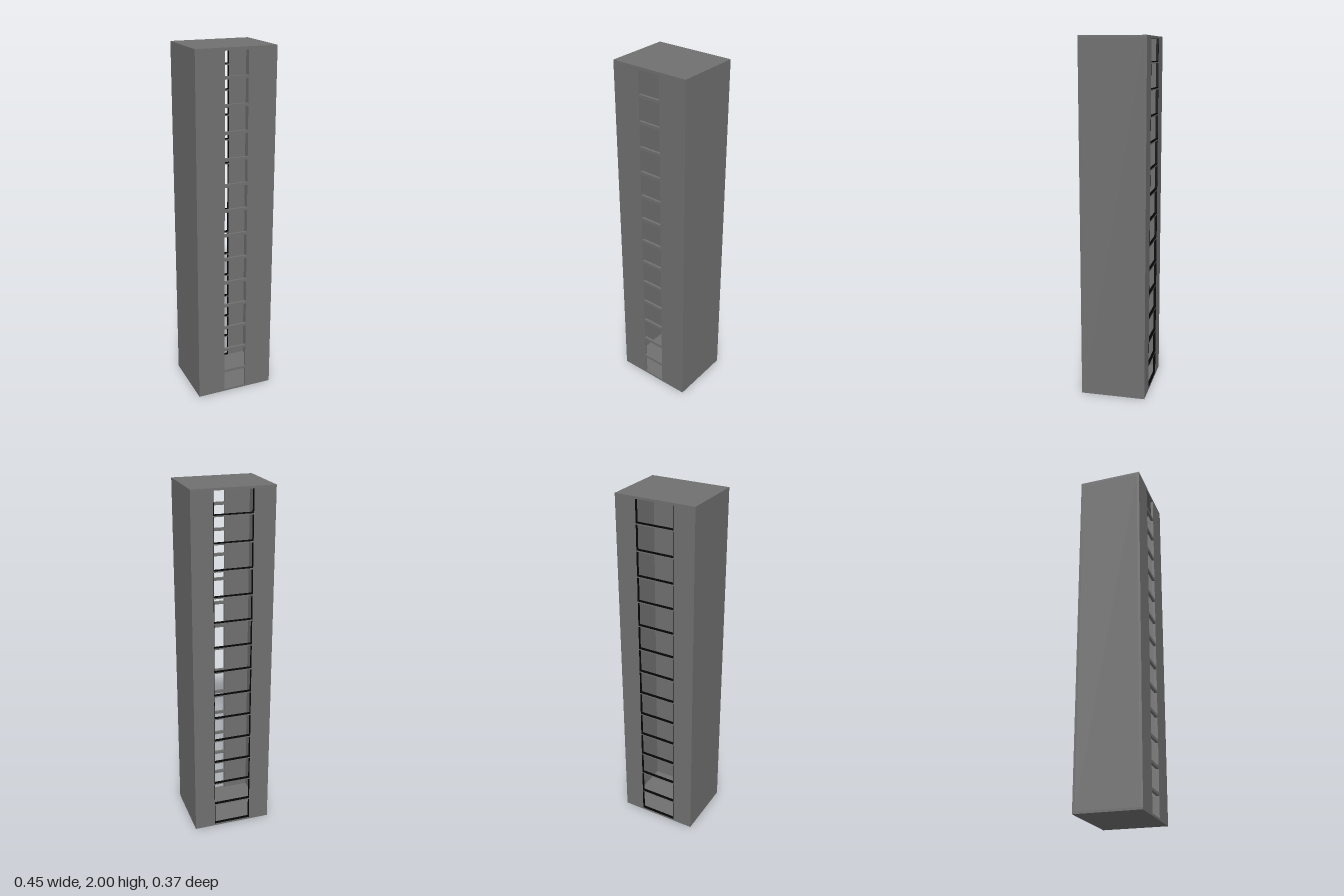
import * as THREE from 'three';

const W = 0.452, H = 2, D = 0.366, T = 0.014; // outer size and shell thickness
const PLATE = 0.012;                          // floor and roof thickness
const STOREYS = 14, STEP = H / STOREYS;
const TRIM = 0.005;                           // black window lining thickness

function flat(name, color) {
  const material = new THREE.MeshStandardMaterial({ color });
  material.name = name;
  return material;
}

export function createModel() {
  const grey = flat('concreteGrey', 0x707070);
  const black = flat('trimBlack', 0x050505);
  const model = new THREE.Group();
  model.name = 'hollowTower';

  // Box given by its minimum and maximum corners
  function box(parent, name, material, x0, x1, y0, y1, z0, z1) {
    const mesh = new THREE.Mesh(new THREE.BoxGeometry(x1 - x0, y1 - y0, z1 - z0), material);
    mesh.position.set((x0 + x1) / 2, (y0 + y1) / 2, (z0 + z1) / 2);
    mesh.name = name;
    parent.add(mesh);
  }

  // Floor and roof close the hollow shaft
  const top = H - PLATE;
  box(model, 'floor', grey, -W / 2, W / 2, 0, PLATE, -D / 2, D / 2);
  box(model, 'roof', grey, -W / 2, W / 2, top, H, -D / 2, D / 2);

  // Plain side walls
  box(model, 'leftWall', grey, W / 2 - T, W / 2, PLATE, top, -D / 2 + T, D / 2 - T);
  box(model, 'rightWall', grey, -W / 2, -W / 2 + T, PLATE, top, -D / 2 + T, D / 2 - T);

  // End wall: two broad piers joined by a crossbar at every storey
  function windowWall(name, half, z0, z1, barLow, barHigh) {
    const wall = new THREE.Group();
    wall.name = name;
    box(wall, 'pier', grey, -W / 2, -half, PLATE, top, z0, z1);
    box(wall, 'pier', grey, half, W / 2, PLATE, top, z0, z1);
    for (let i = 1; i < STOREYS; i++) {
      box(wall, 'crossbar', grey, -half, half, i * STEP + barLow, i * STEP + barHigh, z0, z1);
    }
    model.add(wall);
    return wall;
  }
  const front = windowWall('frontWall', 0.066, D / 2 - T, D / 2, -0.016, 0);
  const back = windowWall('backWall', 0.108, -D / 2, -D / 2 + T, 0, PLATE - TRIM);

  // Lintel above the highest front opening
  box(front, 'lintel', grey, -0.066, 0.066, H - 0.016, top, D / 2 - T, D / 2);

  // Black lining of the back openings: a sill per storey and two jambs
  for (let i = 0; i < STOREYS; i++) {
    const y = i * STEP + (i ? PLATE - TRIM : PLATE);
    box(back, 'sillTrim', black, -0.108, 0.108, y, y + TRIM, -D / 2, -D / 2 + T);
    for (const x of [-0.108, 0.108 - 0.003]) {
      box(back, 'jambTrim', black, x, x + 0.003, y + TRIM, (i + 1) * STEP - (i === STOREYS - 1 ? PLATE : 0),
        -D / 2, -D / 2 + T);
    }
  }

  return model;
}
